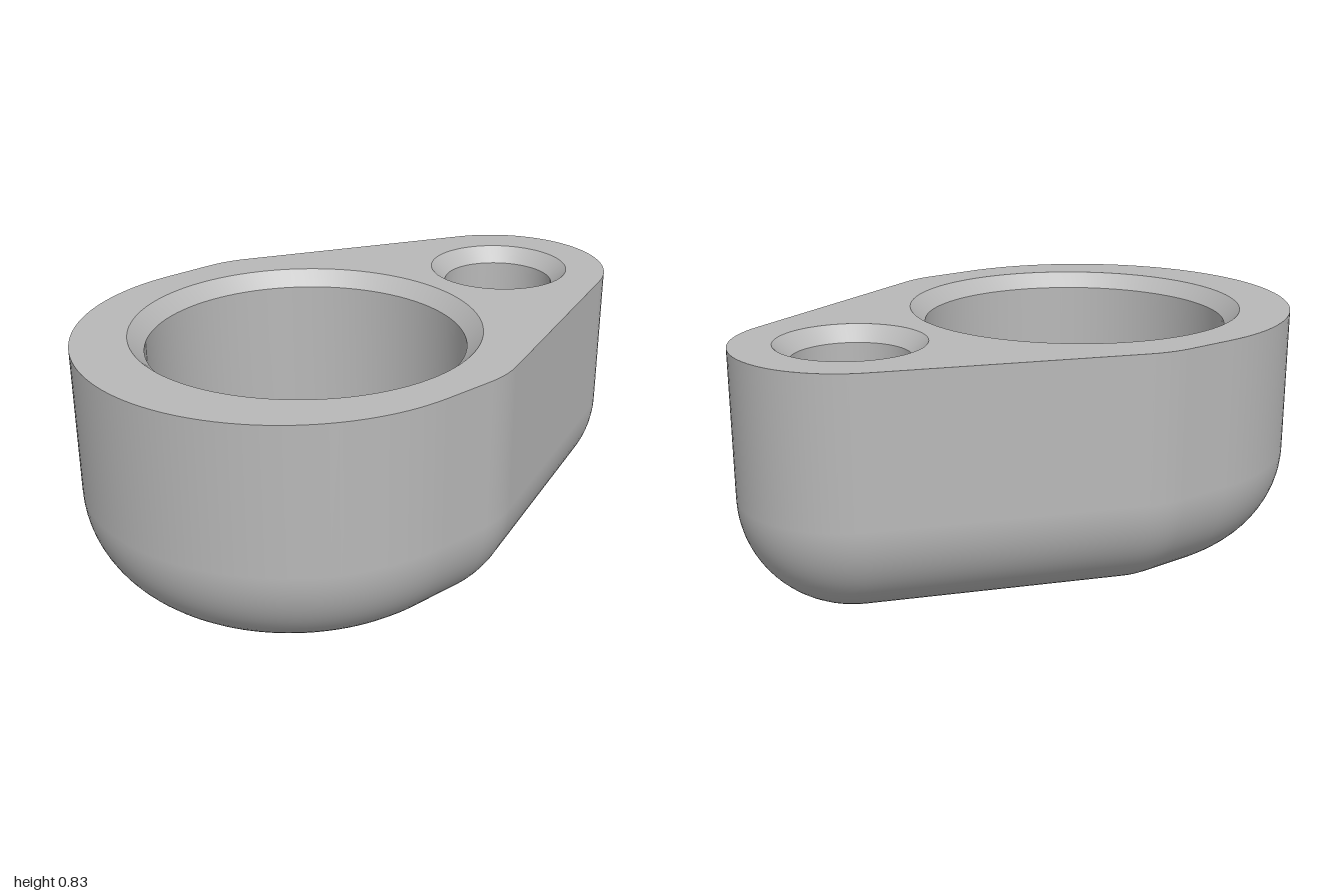
import * as THREE from 'three';
import { toCreasedNormals } from 'three/addons/utils/BufferGeometryUtils.js';

const HEIGHT = 0.83, FILLET = 0.35, FLOOR = 0.18;
const BIG = { x: -0.255, r: 0.51, through: 0.335 };
const SMALL = { x: 0.628, r: 0.188 };
const CHAMFER = 0.05;

// Arcs of the teardrop outline: centre x, centre z, radius, start and end angle in degrees
const ARCS = [
  [0.63, 0, 0.37, -67.3, 67.3, 32],
  [-0.135, 0.33, 0.36, 67.3, 90, 8],
  [-0.31, 0, 0.69, 90, 270, 64],
  [-0.135, -0.33, 0.36, 270, 292.7, 8],
];

// Outline moved inwards by an inset, with the outward direction at each point
function outline(inset) {
  const points = [];
  for (const [cx, cz, r, from, to, steps] of ARCS) {
    for (let i = 0; i <= steps; i++) {
      const t = THREE.MathUtils.degToRad(from + ((to - from) * i) / steps);
      const nx = Math.cos(t), nz = Math.sin(t);
      points.push({ x: cx + (r - inset) * nx, z: cz + (r - inset) * nz, nx, nz });
    }
  }
  return points;
}

// Upright side wall that rolls under into the bottom with a quarter round
function wallGeometry() {
  const rows = [];
  const steps = 20;
  for (let j = 0; j <= steps; j++) {
    const a = (j / steps) * Math.PI / 2;
    rows.push({ inset: FILLET * (1 - Math.sin(a)), y: FILLET * (1 - Math.cos(a)), side: Math.sin(a), down: Math.cos(a) });
  }
  rows.push({ inset: 0, y: HEIGHT, side: 1, down: 0 });

  const position = [], normal = [], index = [];
  const n = outline(0).length;
  rows.forEach((row, j) => {
    for (const p of outline(row.inset)) {
      position.push(p.x, row.y, p.z);
      normal.push(p.nx * row.side, -row.down, p.nz * row.side);
    }
    if (j === 0) return;
    for (let i = 0; i < n; i++) {
      const k = (i + 1) % n;
      const a = (j - 1) * n + i, b = (j - 1) * n + k;
      const c = j * n + i, d = j * n + k;
      index.push(a, c, b, b, c, d);
    }
  });
  const g = new THREE.BufferGeometry();
  g.setAttribute('position', new THREE.Float32BufferAttribute(position, 3));
  g.setAttribute('normal', new THREE.Float32BufferAttribute(normal, 3));
  g.setIndex(index);
  return g;
}

// Flat face with round holes, each given as [x, radius]
function faceGeometry(inset, holes) {
  const shape = new THREE.Shape(outline(inset).map((p) => new THREE.Vector2(p.x, p.z)));
  for (const [x, r] of holes) {
    shape.holes.push(new THREE.Path().absarc(x, 0, r, 0, Math.PI * 2, true));
  }
  return new THREE.ShapeGeometry(shape, 48);
}

// Inward-facing bore, its profile running from the rim downwards
function boreGeometry(profile) {
  const points = profile.map(([r, y]) => new THREE.Vector2(r, y));
  return toCreasedNormals(new THREE.LatheGeometry(points, 96), 0.6);
}

export function createModel() {
  const model = new THREE.Group();
  model.name = 'twoHoleHolder';
  const grey = new THREE.MeshStandardMaterial({ color: 0xb8b8b8 });
  grey.name = 'grey';

  const add = (name, geometry, x = 0, y = 0) => {
    const mesh = new THREE.Mesh(geometry, grey);
    mesh.name = name;
    mesh.position.set(x, y, 0);
    model.add(mesh);
  };

  // Body shell
  add('sideWall', wallGeometry());
  const top = faceGeometry(0, [[BIG.x, BIG.r + CHAMFER], [SMALL.x, SMALL.r + CHAMFER]]);
  add('topFace', top.rotateX(-Math.PI / 2), 0, HEIGHT);
  const bottom = faceGeometry(FILLET, [[BIG.x, BIG.through]]);
  add('bottomFace', bottom.rotateX(Math.PI / 2));

  // Large stepped bore, open through the bottom
  add('largeBore', boreGeometry([
    [BIG.r + CHAMFER, HEIGHT], [BIG.r, HEIGHT - CHAMFER], [BIG.r, FLOOR],
    [BIG.through, FLOOR], [BIG.through, 0],
  ]), BIG.x);

  // Small blind bore
  add('smallBore', boreGeometry([
    [SMALL.r + CHAMFER, HEIGHT], [SMALL.r, HEIGHT - CHAMFER], [SMALL.r, FLOOR], [0, FLOOR],
  ]), SMALL.x);

  return model;
}
